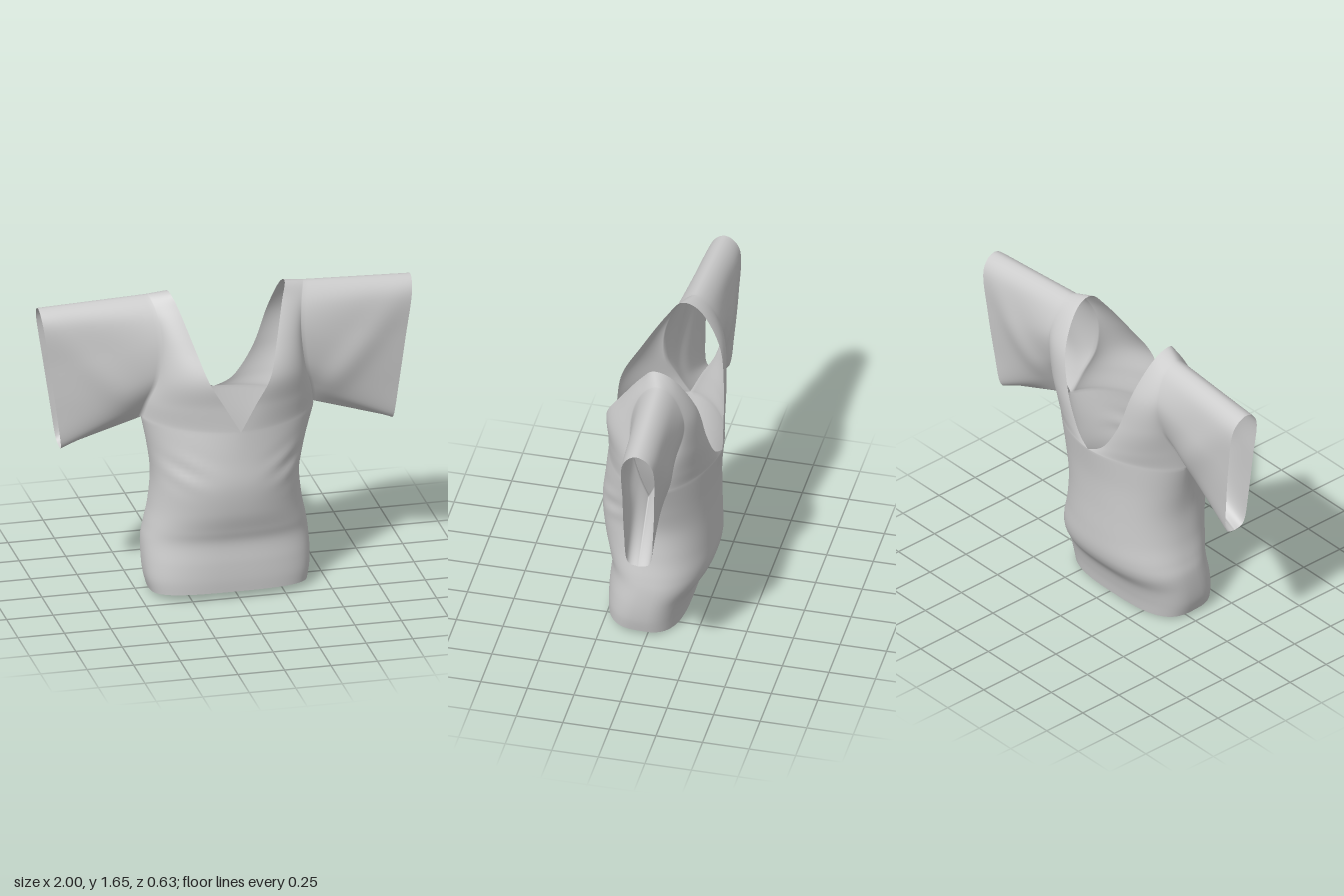
import * as THREE from 'three';
import { mergeGeometries, mergeVertices } from 'three/addons/utils/BufferGeometryUtils.js';

const SEG = 16; // divisions from centre line to side seam

// Smooth interpolation through rows of numbers, f in 0..1
function spline(rows, f) {
  const s = f * (rows.length - 1);
  const i = Math.min(Math.floor(s), rows.length - 2), t = s - i;
  const b = rows[i], c = rows[i + 1];
  const a = rows[Math.max(i - 1, 0)], d = rows[Math.min(i + 2, rows.length - 1)];
  return b.map((p, k) => p + 0.5 * t * (c[k] - a[k] +
    t * (2 * a[k] - 5 * p + 4 * c[k] - d[k] + t * (3 * (p - c[k]) + d[k] - a[k]))));
}

// Sheet of quads from a point function
function sheet(nu, nv, point, flip = false) {
  const pos = [], idx = [];
  for (let j = 0; j <= nv; j++)
    for (let i = 0; i <= nu; i++) pos.push(...point(i / nu, j / nv));
  for (let j = 0; j < nv; j++)
    for (let i = 0; i < nu; i++) {
      const a = j * (nu + 1) + i, b = a + 1, c = a + nu + 1, d = c + 1;
      if (flip) idx.push(a, d, b, a, c, d);
      else idx.push(a, b, d, a, d, c);
    }
  const g = new THREE.BufferGeometry();
  g.setAttribute('position', new THREE.Float32BufferAttribute(pos, 3));
  g.setIndex(idx);
  return g;
}

// Torso rows: front y, front z, back y, back z, half width, centre x, side z, squareness
const TORSO = [
  [0.04, 0.26, 0, -0.155, 0.42, -0.02, 0.05, 3],
  [0.11, 0.264, 0.08, -0.17, 0.438, -0.022, 0.04, 2.8],
  [0.2, 0.262, 0.17, -0.2, 0.445, -0.022, 0.02, 2.6],
  [0.31, 0.255, 0.26, -0.26, 0.442, -0.022, 0, 2.4],
  [0.39, 0.275, 0.34, -0.285, 0.428, -0.02, 0, 2.3],
  [0.5, 0.305, 0.46, -0.288, 0.405, -0.02, 0, 2.2],
  [0.65, 0.32, 0.63, -0.285, 0.392, -0.02, 0, 2.2],
  [0.8, 0.305, 0.8, -0.29, 0.42, -0.01, -0.015, 2],
  [0.95, 0.29, 0.97, -0.31, 0.462, 0, -0.025, 1.75],
];

// Edge curves of the left half, from front bottom over the top to back bottom
const NECK = [
  [0, 0.95, 0.29], [0.08, 1.09, 0.28], [0.165, 1.24, 0.27], [0.22, 1.4, 0.175],
  [0.275, 1.57, 0.06], [0.31, 1.65, -0.02], [0.305, 1.6, -0.13], [0.265, 1.42, -0.235],
  [0.2, 1.2, -0.27], [0.1, 1.03, -0.29], [0, 0.97, -0.31],
];
const ARMHOLE = [
  [0.462, 0.96, -0.025], [0.44, 1.07, 0.03], [0.395, 1.22, 0.085], [0.375, 1.4, 0.085],
  [0.39, 1.55, 0.03], [0.42, 1.63, -0.06], [0.42, 1.57, -0.15], [0.43, 1.42, -0.205],
  [0.435, 1.25, -0.17], [0.45, 1.1, -0.09], [0.462, 0.96, -0.025],
];
const CUFF = [
  [0.89, 0.81, -0.07], [0.895, 0.845, -0.01], [0.92, 1.03, 0], [0.955, 1.28, 0],
  [0.99, 1.52, -0.005], [1, 1.6, -0.085], [0.99, 1.52, -0.17], [0.955, 1.28, -0.17],
  [0.92, 1.03, -0.155], [0.895, 0.845, -0.135], [0.89, 0.81, -0.07],
];

function torsoPoint(angle, f) {
  const [yF, zF, yB, zB, w, xc, zc, n] = spline(TORSO, f);
  const s = Math.sin(angle), c = Math.cos(angle);
  const soft = (v) => Math.sign(v) * Math.abs(v) ** (2 / n);
  const x = xc + w * soft(s);
  const y = (yF + yB) / 2 + (yF - yB) / 2 * c;
  let z = zc + (c > 0 ? zF - zc : zc - zB) * soft(c);
  // Slanting folds under the arms, on the front only
  const r = ((Math.abs(x) - 0.32) / 0.12) ** 2 + ((y - 0.74) / 0.09) ** 2;
  z += 0.012 * Math.exp(-r) * Math.sin((y - 0.5 * Math.abs(x)) * 50) * Math.max(c, 0) * (1 - f ** 8);
  return [x, y, z];
}

const mix = (a, b, t) => a.map((p, k) => p + (b[k] - p) * t);

// Shoulder panel between neckline and armhole, joined to the top of the torso
function yokePoint(t, v) {
  const p = mix(spline(NECK, v), spline(ARMHOLE, v), t);
  const front = v < 0.5, end = front ? 0 : 1;
  const seam = torsoPoint(front ? t * Math.PI / 2 : Math.PI * (1 - t / 2), 1);
  const chord = mix(spline(NECK, end), spline(ARMHOLE, end), t);
  const fade = Math.abs(1 - 2 * v) ** 1.6;
  return p.map((q, k) => q + (seam[k] - chord[k]) * fade);
}

// Sleeve between armhole and cuff, with one diagonal fold on each face
function sleevePoint(t, v) {
  const [x, y, z] = mix(spline(ARMHOLE, v), spline(CUFF, v), t);
  const d = (y - 1.1 - (x - 0.55)) / 1.41;
  const fold = 0.014 * Math.exp(-((d / 0.09) ** 2)) * Math.sin(Math.PI * t);
  return [x, y, z + fold * Math.sin(2 * Math.PI * v)];
}

const mirrored = (fn, side) => (t, v) => {
  const [x, y, z] = fn(t, v);
  return [side * x, y, z];
};

export function createModel() {
  const group = new THREE.Group();
  group.name = 'shirt';
  const cloth = new THREE.MeshStandardMaterial({ color: 0xcccccc, side: THREE.DoubleSide });

  const half = (fn, nu, s) => sheet(nu, 80, mirrored(fn, s), s < 0);
  const parts = {
    torso: sheet(SEG * 4, 56, (u, v) => torsoPoint(u * Math.PI * 2, v)),
    leftShoulder: half(yokePoint, SEG, 1),
    rightShoulder: half(yokePoint, SEG, -1),
    leftSleeve: half(sleevePoint, 24, 1),
    rightSleeve: half(sleevePoint, 24, -1),
  };

  // Normals come from the joined cloth, so the seams between parts stay smooth
  const whole = mergeVertices(mergeGeometries(Object.values(parts)), 1e-4);
  whole.computeVertexNormals();
  const index = Array.from(whole.index.array);
  let start = 0;
  for (const [name, part] of Object.entries(parts)) {
    const end = start + part.index.count;
    const piece = whole.clone().setIndex(index.slice(start, end)).toNonIndexed();
    const mesh = new THREE.Mesh(piece, cloth);
    mesh.name = name;
    group.add(mesh);
    start = end;
  }
  return group;
}
